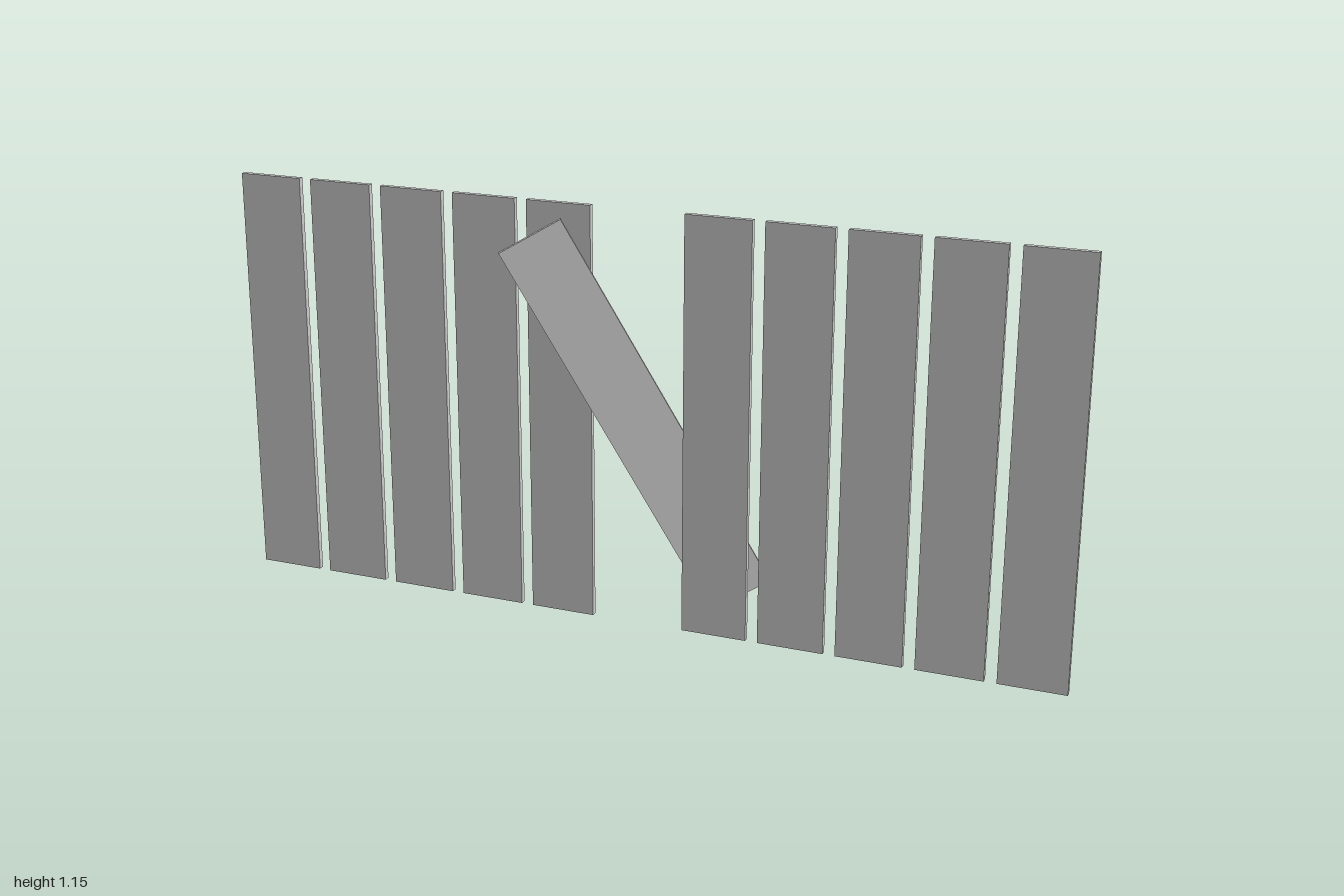
import * as THREE from 'three';

export function createModel() {
  const model = new THREE.Group();
  const material = new THREE.MeshStandardMaterial({ color: 0xcccccc, flatShading: true });
  const height = 1.153, width = 0.183, thickness = 0.016;
  const board = new THREE.BoxGeometry(width, height, thickness);

  function addBoard(name, parent, x, y) {
    const mesh = new THREE.Mesh(board, material);
    mesh.name = name;
    mesh.position.set(x, y, 0);
    parent.add(mesh);
    return mesh;
  }

  // Straight run of upright boards, with a gap in the middle
  const fence = new THREE.Group();
  fence.name = 'fence';
  fence.rotation.y = -1.0;
  const first = 0.222, pitch = 0.2165;
  for (const side of [-1, 1]) {
    for (let i = 0; i < 5; i++) {
      addBoard('uprightBoard', fence, side * (first + i * pitch), height / 2);
    }
  }
  model.add(fence);

  // Fallen board leaning through the gap
  const leaning = addBoard('leaningBoard', model, 0, 0.58);
  leaning.rotation.set(0, -0.58, 0.505);

  return model;
}
